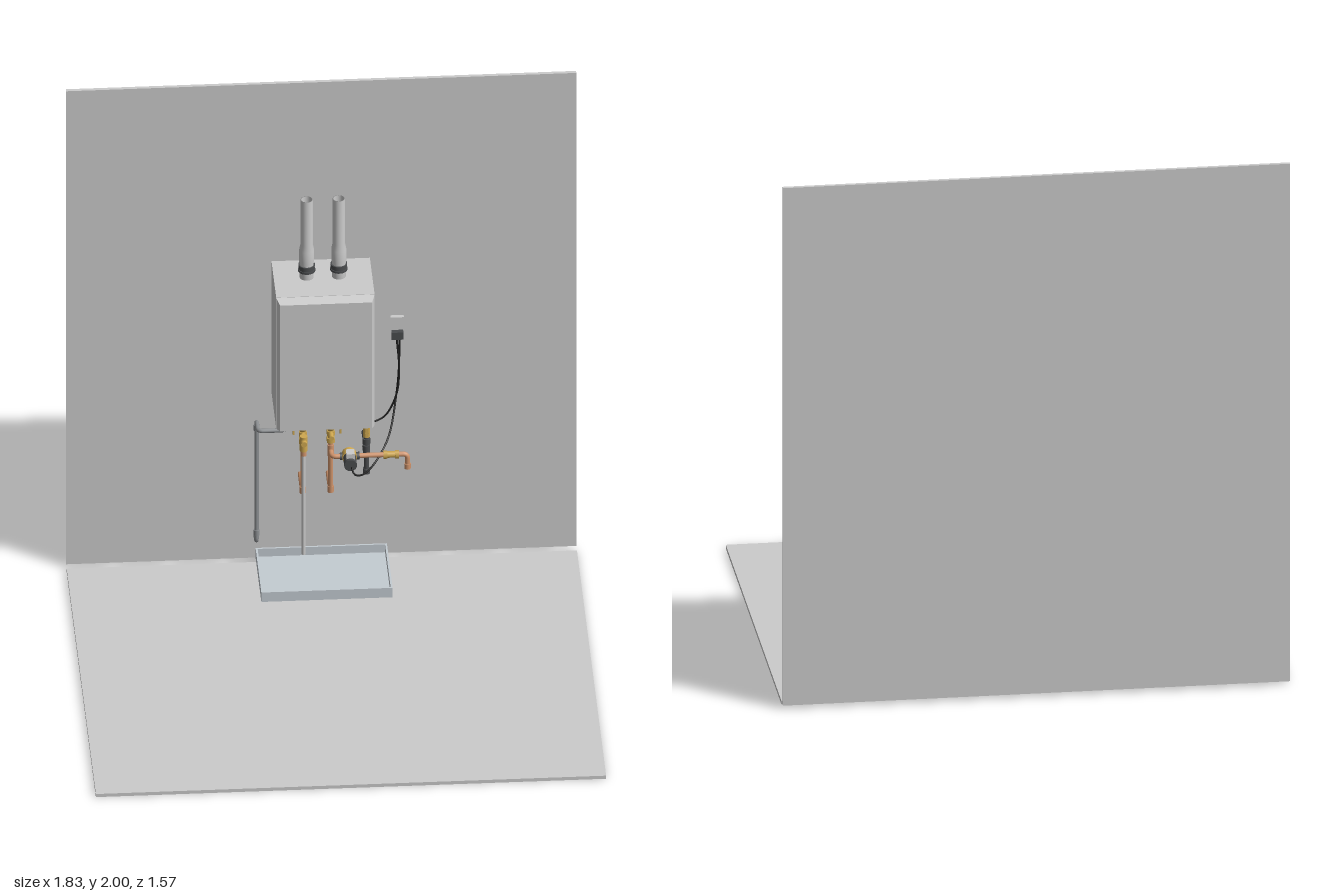
import * as THREE from 'three';

const paint = (color) => new THREE.MeshStandardMaterial({ color });
const grey = paint(0xcccccc), dark = paint(0x4a4c4e), black = paint(0x1c1c1c);
const copper = paint(0xd0946c), brass = paint(0xcfa850), red = paint(0xb03020);
const trayGrey = paint(0xc4ccd2), pale = paint(0xe6e6e6), mid = paint(0x8c8f92);
const V = (p) => new THREE.Vector3(...p);

export function createModel() {
  const model = new THREE.Group();
  model.name = 'wallHungBoiler';

  const add = (name, geometry, material, parent = model) => {
    const mesh = new THREE.Mesh(geometry, material);
    mesh.name = name;
    parent.add(mesh);
    return mesh;
  };
  // box from its low and high corner
  const box = (name, a, b, material, parent) => {
    const mesh = add(name, new THREE.BoxGeometry(b[0] - a[0], b[1] - a[1], b[2] - a[2]), material, parent);
    mesh.position.set((a[0] + b[0]) / 2, (a[1] + b[1]) / 2, (a[2] + b[2]) / 2);
    return mesh;
  };
  // cylinder between two points
  const rod = (name, a, b, r, material, sides = 16, parent = model) => {
    const from = V(a), d = V(b).sub(from);
    const mesh = add(name, new THREE.CylinderGeometry(r, r, d.length(), sides), material, parent);
    mesh.position.copy(from).addScaledVector(d, 0.5);
    mesh.quaternion.setFromUnitVectors(new THREE.Vector3(0, 1, 0), d.normalize());
    return mesh;
  };
  // pipe along corner points with rounded bends and capped ends
  const pipe = (name, points, r, material, bend = 0.018) => {
    const p = points.map(V), path = new THREE.CurvePath();
    let last = p[0];
    for (let i = 1; i < p.length - 1; i++) {
      const before = p[i - 1].clone().sub(p[i]).setLength(bend).add(p[i]);
      const after = p[i + 1].clone().sub(p[i]).setLength(bend).add(p[i]);
      path.add(new THREE.LineCurve3(last, before));
      path.add(new THREE.QuadraticBezierCurve3(before, p[i], after));
      last = after;
    }
    path.add(new THREE.LineCurve3(last, p[p.length - 1]));
    add(name, new THREE.TubeGeometry(path, 100, r, 12), material);
    for (const [end, next] of [[p[0], p[1]], [p[p.length - 1], p[p.length - 2]]]) {
      const tip = next.clone().sub(end).setLength(0.002).add(end);
      rod(name + 'End', end.toArray(), tip.toArray(), r, material, 12);
    }
  };
  const cable = (name, points) => add(name,
    new THREE.TubeGeometry(new THREE.CatmullRomCurve3(points.map(V)), 60, 0.0035, 8), black);

  // room surfaces
  box('wall', [-0.913, 0.013, -0.787], [0.913, 2, -0.773], grey);
  box('floor', [-0.913, 0, -0.743], [0.913, 0.013, 0.787], grey);

  // open drip tray
  const tray = new THREE.Group();
  tray.name = 'dripTray';
  model.add(tray);
  box('trayBase', [-0.235, 0.0135, -0.773], [0.235, 0.02, -0.47], trayGrey, tray);
  for (const x of [-0.235, 0.228]) box('traySide', [x, 0.0135, -0.773], [x + 0.007, 0.053, -0.47], trayGrey, tray);
  for (const z of [-0.773, -0.477]) box('trayEnd', [-0.228, 0.0135, z], [0.228, 0.053, z + 0.007], trayGrey, tray);

  // boiler casing, with a door whose front edges taper inward
  box('casing', [-0.178, 0.705, -0.773], [0.174, 1.255, -0.526], grey);
  const door = box('door', [-0.178, 0.705, -0.524], [0.174, 1.255, -0.488], grey);
  const dp = door.geometry.attributes.position;
  for (let i = 0; i < dp.count; i++) if (dp.getZ(i) > 0) {
    dp.setX(i, dp.getX(i) - Math.sign(dp.getX(i)) * 0.011);
    dp.setY(i, dp.getY(i) - Math.sign(dp.getY(i)) * 0.011);
  }
  door.geometry.computeVertexNormals();
  box('doorGap', [-0.174, 0.709, -0.527], [0.17, 1.251, -0.523], dark);
  box('ratingPlate', [0.173, 1.045, -0.69], [0.1755, 1.1, -0.607], pale);

  // twin flue pipes: hollow socketed tubes with dark clamp collars
  const flueProfile = [[0.019, 1.25], [0.025, 1.25], [0.025, 1.315], [0.027, 1.32], [0.027, 1.37],
    [0.022, 1.395], [0.022, 1.58], [0.019, 1.58], [0.019, 1.25]].map((p) => new THREE.Vector2(...p));
  for (const x of [-0.06, 0.055]) {
    const flue = add('fluePipe', new THREE.LatheGeometry(flueProfile, 32), grey);
    flue.geometry = flue.geometry.toNonIndexed();
    flue.position.set(x, 0, -0.658);
    for (const [y, r, h] of [[1.295, 0.028, 0.028], [1.287, 0.031, 0.008], [1.306, 0.03, 0.006]])
      rod('flueCollar', [x, y - h / 2, -0.658], [x, y + h / 2, -0.658], r, dark, 32);
  }

  // condensate drain
  pipe('condensatePipe', [[-0.135, 0.7, -0.65], [-0.135, 0.62, -0.65], [-0.235, 0.62, -0.65],
    [-0.235, 0.62, -0.722], [-0.235, 0.11, -0.722], [-0.235, 0.11, -0.773]], 0.008, mid);
  rod('condensateSocket', [-0.135, 0.65, -0.65], [-0.135, 0.705, -0.65], 0.011, mid);
  for (const y of [0.58, 0.14]) rod('condensateCoupling', [-0.235, y, -0.722], [-0.235, y + 0.022, -0.722], 0.0105, mid);

  // two water connections: union, isolating valve and copper pipe into the wall
  for (const [x, side] of [[-0.075, -1], [0.025, 1]]) {
    pipe('copperPipe', [[x, 0.6, -0.642], [x, 0.36, -0.642], [x, 0.36, -0.773]], 0.009, copper);
    rod('copperElbow', [x, 0.36, -0.642], [x, 0.385, -0.642], 0.011, copper);
    rod('inletPipe', [x, 0.67, -0.642], [x, 0.705, -0.642], 0.009, mid);
    rod('valveBody', [x, 0.57, -0.642], [x, 0.68, -0.642], 0.011, brass);
    for (const y of [0.655, 0.6, 0.57]) rod('unionNut', [x, y, -0.642], [x, y + 0.018, -0.642], 0.016, brass, 6);
    add('valveBall', new THREE.SphereGeometry(0.018, 16, 12), brass).position.set(x, 0.635, -0.642);
    rod('valveStem', [x, 0.635, -0.642], [x + side * 0.034, 0.635, -0.642], 0.007, brass);
    box('valveLever', [x + side * 0.034 - 0.003, 0.615, -0.65], [x + side * 0.034 + 0.003, 0.645, -0.622], brass);
    rod('valvePort', [x, 0.61, -0.642], [x, 0.61, -0.597], 0.009, brass);
  }
  box('hotValveTag', [-0.083, 0.678, -0.63], [-0.067, 0.69, -0.622], red);

  // pressure relief valve and discharge pipe
  rod('reliefValve', [-0.075, 0.565, -0.597], [-0.075, 0.625, -0.597], 0.014, brass);
  rod('reliefKnob', [-0.075, 0.605, -0.597], [-0.075, 0.605, -0.57], 0.011, brass);
  rod('dischargePipe', [-0.075, 0.13, -0.597], [-0.075, 0.57, -0.597], 0.007, grey);
  rod('dischargeSocket', [-0.075, 0.545, -0.597], [-0.075, 0.575, -0.597], 0.011, copper);

  // filling branch, ending in a downturned outlet
  pipe('branchPipe', [[0.025, 0.535, -0.642], [0.025, 0.535, -0.597], [0.297, 0.535, -0.597], [0.297, 0.475, -0.597]], 0.009, copper);
  rod('branchTee', [0.025, 0.512, -0.642], [0.025, 0.558, -0.642], 0.012, copper);
  rod('branchValve', [0.215, 0.535, -0.597], [0.262, 0.535, -0.597], 0.012, brass);
  for (const x of [0.21, 0.252]) rod('branchNut', [x, 0.535, -0.597], [x + 0.014, 0.535, -0.597], 0.015, brass, 6);
  rod('outletSocket', [0.297, 0.475, -0.597], [0.297, 0.495, -0.597], 0.0115, copper);

  // circulating pump on the branch
  rod('pumpFlange', [0.055, 0.535, -0.597], [0.125, 0.535, -0.597], 0.014, dark, 8);
  rod('pumpBody', [0.088, 0.54, -0.607], [0.088, 0.54, -0.575], 0.026, brass, 24);
  rod('pumpMotor', [0.088, 0.54, -0.575], [0.088, 0.54, -0.522], 0.023, dark, 24);
  box('pumpTerminalBox', [0.074, 0.558, -0.57], [0.104, 0.58, -0.535], grey);

  // gas supply: black iron pipe, cock, wall branch and drip leg
  const gx = 0.153, gz = -0.645;
  rod('gasPipe', [gx, 0.44, gz], [gx, 0.705, gz], 0.009, dark);
  rod('gasBranch', [gx, 0.525, gz], [gx, 0.525, -0.773], 0.009, dark);
  rod('gasBranchSocket', [gx, 0.525, gz], [gx, 0.525, -0.675], 0.013, dark);
  for (const [y, h, r] of [[0.432, 0.02, 0.013], [0.5, 0.05, 0.013], [0.555, 0.022, 0.014], [0.655, 0.03, 0.014]])
    rod('gasFitting', [gx, y, gz], [gx, y + h, gz], r, dark, 12);
  rod('gasCock', [gx, 0.585, gz], [gx, 0.65, gz], 0.013, brass, 8);
  rod('gasCockStem', [gx, 0.615, gz], [gx, 0.615, gz + 0.028], 0.007, brass);
  box('gasCockLever', [gx - 0.005, 0.6, gz + 0.026], [gx + 0.005, 0.65, gz + 0.031], brass);

  // electrical outlet and cables
  box('outletBox', [0.247, 0.925, -0.773], [0.295, 1.01, -0.757], pale);
  box('outletPlug', [0.25, 0.928, -0.757], [0.292, 0.958, -0.737], dark);
  cable('boilerCable', [[0.268, 0.93, -0.742], [0.275, 0.82, -0.725], [0.265, 0.72, -0.708],
    [0.22, 0.635, -0.695], [0.165, 0.622, -0.682], [0.145, 0.65, -0.676], [0.145, 0.706, -0.676]]);
  cable('pumpCable', [[0.278, 0.93, -0.752], [0.278, 0.8, -0.77], [0.268, 0.69, -0.758],
    [0.235, 0.56, -0.68], [0.18, 0.5, -0.6], [0.13, 0.495, -0.53], [0.1, 0.51, -0.512], [0.092, 0.535, -0.522]]);

  return model;
}
